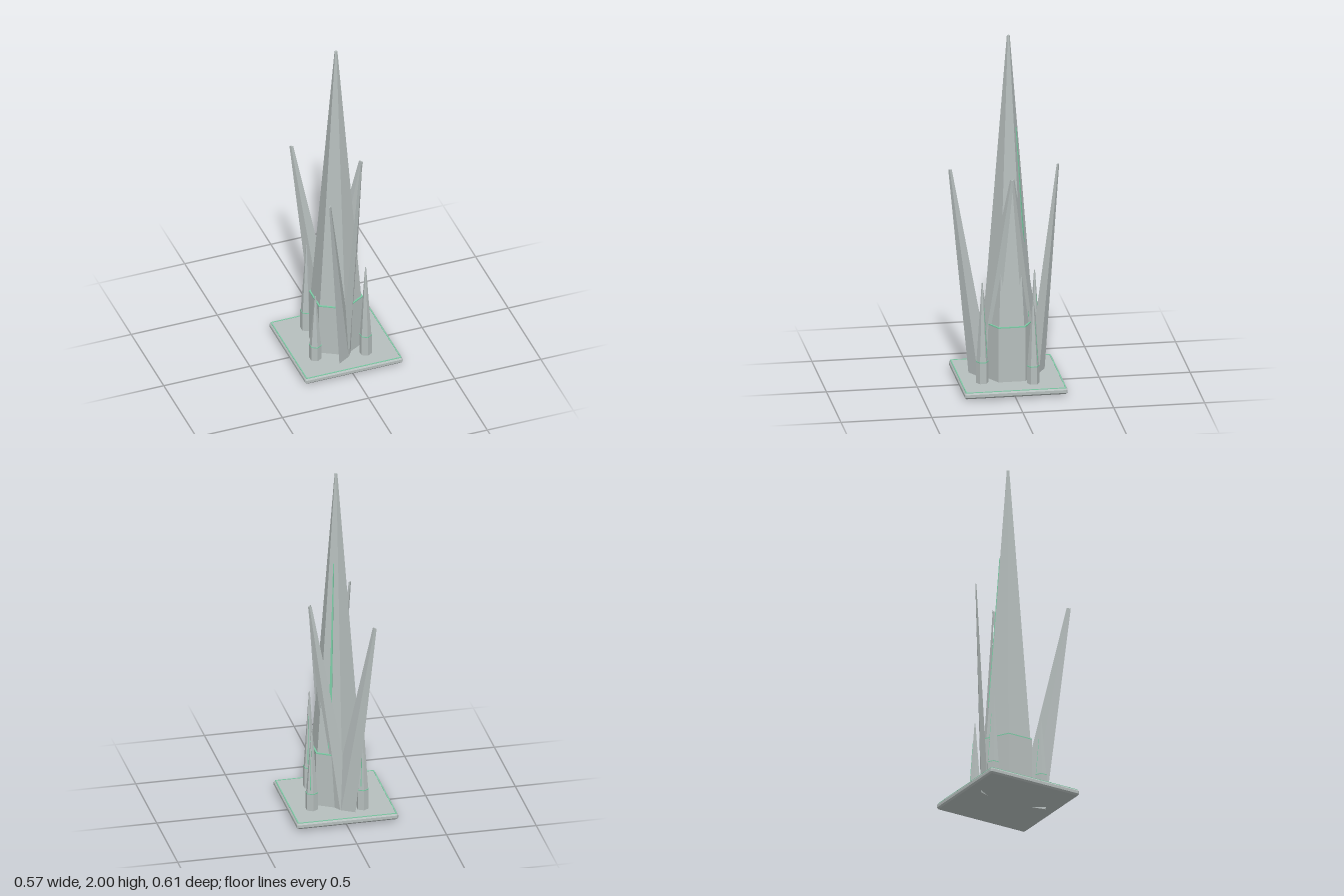
import * as THREE from 'three';

const stone = new THREE.MeshStandardMaterial({ color: 0xb6bebd, flatShading: true });
stone.name = 'pale grey stone';
const jade = new THREE.MeshStandardMaterial({ color: 0x7ccaa5, flatShading: true });
jade.name = 'jade green trim';

const PLATE_TOP = 0.047;

function add(parent, name, geometry, material, x = 0, y = 0, z = 0) {
  const mesh = new THREE.Mesh(geometry, material);
  mesh.name = name;
  mesh.position.set(x, y, z);
  parent.add(mesh);
  return mesh;
}

// Square outline with slightly cut corners
function squarePoints(h, cut) {
  return [
    [h - cut, -h], [h, -h + cut], [h, h - cut], [h - cut, h],
    [-h + cut, h], [-h, h - cut], [-h, -h + cut], [-h + cut, -h],
  ].map(([x, y]) => new THREE.Vector2(x, y));
}

// Hexagonal tower: prism shaft, green collar, tapering spire and a vein up one face
function tower({ name, x, z, radius, coneRadius, tipRadius, ringY, topY, collar, vein }) {
  const g = new THREE.Group();
  g.name = name;
  g.position.set(x, 0, z);
  const bottom = PLATE_TOP - 0.01;
  const shaftH = ringY - collar - bottom;
  add(g, 'shaft', new THREE.CylinderGeometry(radius, radius, shaftH, 6), stone, 0, bottom + shaftH / 2);
  add(g, 'collar', new THREE.CylinderGeometry(radius, radius, collar, 6), jade, 0, ringY - collar / 2);
  const coneH = topY - ringY;
  add(g, 'spire', new THREE.CylinderGeometry(tipRadius, coneRadius, coneH, 6), stone, 0, ringY + coneH / 2);

  // Vein: thin tapered strip lying on the face pointing back left
  const k = Math.cos(Math.PI / 6);
  const slope = Math.atan(((coneRadius - tipRadius) * k) / coneH);
  const faceLength = coneH / Math.cos(slope);
  const s = new THREE.Shape([
    new THREE.Vector2(-vein.width / 2, faceLength * vein.from),
    new THREE.Vector2(vein.width / 2, faceLength * vein.from),
    new THREE.Vector2(vein.width / 8, faceLength * vein.to),
    new THREE.Vector2(-vein.width / 8, faceLength * vein.to),
  ]);
  const geo = new THREE.ExtrudeGeometry(s, { depth: vein.depth, bevelEnabled: false });
  geo.rotateX(-slope);
  geo.translate(0, ringY, coneRadius * k);
  geo.rotateY((150 * Math.PI) / 180);
  add(g, 'vein', geo, jade);
  return g;
}

// Flat diamond-section blade leaning within its own plane
function blade(name, side, lean) {
  const length = 1.195;
  const geo = new THREE.CylinderGeometry(0.012, 0.08, length, 4);
  geo.scale(1, 1, 0.25);
  geo.translate(0, length / 2, 0);
  geo.rotateZ((-lean * 10 * Math.PI) / 180);
  geo.rotateY((side * Math.PI) / 4);
  const mesh = new THREE.Mesh(geo, stone);
  mesh.name = name;
  mesh.position.set(0, lean > 0 ? 0.038 : 0.014, side * 0.15);
  return mesh;
}

export function createModel() {
  const model = new THREE.Group();
  model.name = 'crystalTower';

  // Base plate with chamfered edges
  const plate = new THREE.ExtrudeGeometry(new THREE.Shape(squarePoints(0.275, 0.003)), {
    depth: 0.016, bevelEnabled: true, bevelThickness: 0.009, bevelSize: 0.008, bevelSegments: 1,
  });
  plate.rotateX(-Math.PI / 2);
  add(model, 'basePlate', plate, stone, 0, PLATE_TOP - 0.025);

  // Thin green border on the plate
  const border = new THREE.Shape(squarePoints(0.276, 0.003));
  border.holes.push(new THREE.Path(squarePoints(0.27, 0.002).reverse()));
  const borderGeo = new THREE.ExtrudeGeometry(border, { depth: 0.003, bevelEnabled: false });
  borderGeo.rotateX(-Math.PI / 2);
  add(model, 'plateBorder', borderGeo, jade, 0, PLATE_TOP - 0.001);

  // Central tower
  model.add(tower({
    name: 'mainTower', x: 0, z: 0, radius: 0.148, coneRadius: 0.138, tipRadius: 0.008,
    ringY: 0.362, topY: 2, collar: 0.006, vein: { from: 0.02, to: 0.68, width: 0.018, depth: 0.004 },
  }));

  // Four corner turrets of different heights
  [[-0.11, -0.162, 0.6], [0.161, -0.111, 0.52], [-0.162, 0.111, 0.463], [0.111, 0.161, 0.62]]
    .forEach(([x, z, topY], i) => model.add(tower({
      name: 'turret' + (i + 1), x, z, radius: 0.035, coneRadius: 0.032, tipRadius: 0.003,
      ringY: 0.045 + 0.22 * (topY - 0.045), topY, collar: 0.005,
      vein: { from: 0.05, to: 0.68, width: 0.005, depth: 0.002 },
    })));

  // Crossed blades on the front and back of the tower
  for (const side of [1, -1]) {
    const place = side > 0 ? 'front' : 'back';
    model.add(blade(place + 'OuterBlade', side, -1));
    model.add(blade(place + 'InnerBlade', side, 1));
  }
  return model;
}
